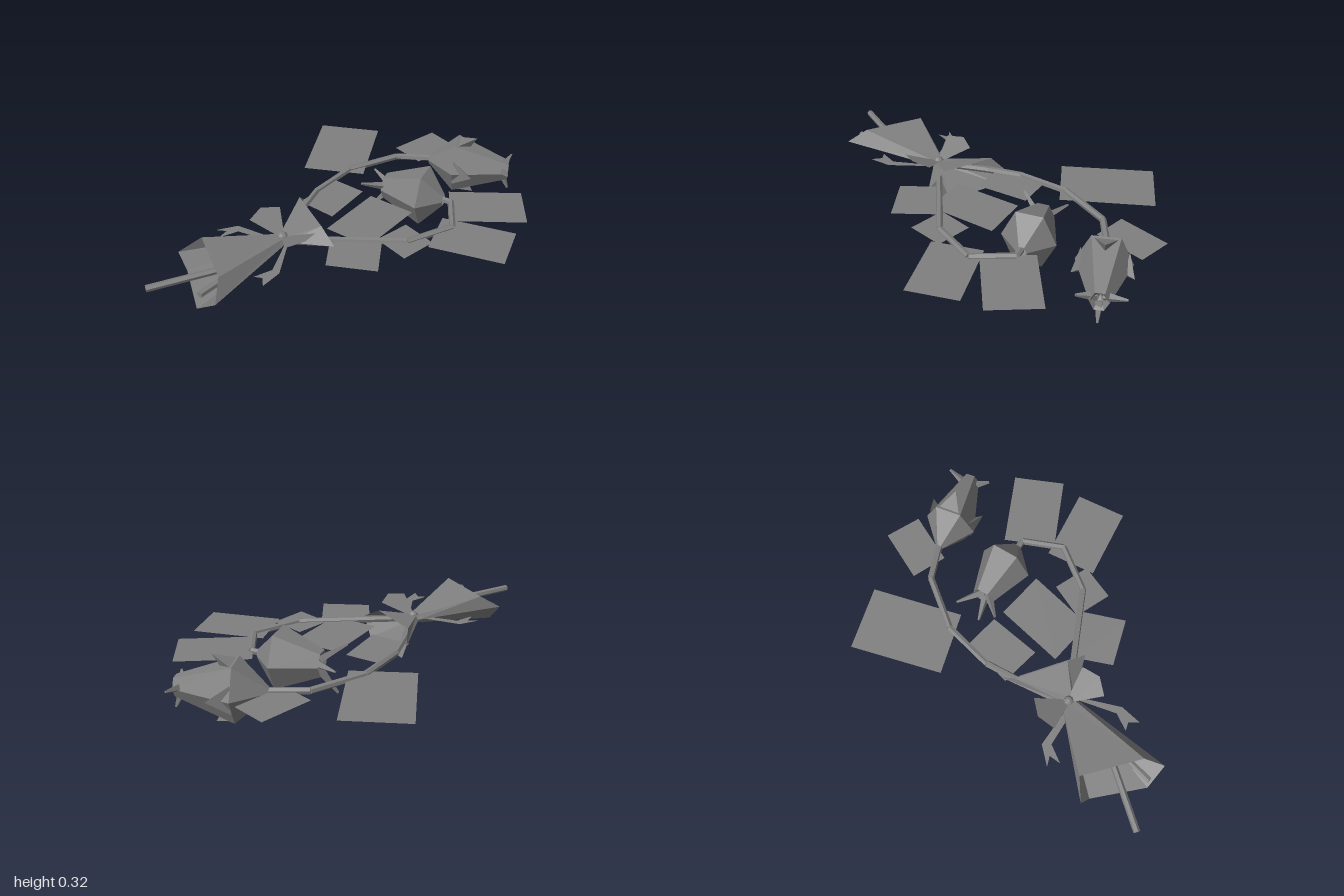
import * as THREE from 'three';

const Y = 0.16; // height of the plane in which the bouquet lies
const material = new THREE.MeshStandardMaterial({
  color: 0x808080, flatShading: true, side: THREE.DoubleSide,
});
const v = (x, y, z) => new THREE.Vector3(x, y, z);

function mesh(name, geometry) {
  const m = new THREE.Mesh(geometry, material);
  m.name = name;
  return m;
}

// Surface through rings of equal point count
function loft(name, rings) {
  const pos = [];
  const n = rings[0].length;
  for (let i = 0; i < rings.length - 1; i++) {
    for (let j = 0; j < n; j++) {
      const k = (j + 1) % n;
      const [a, b, c, d] = [rings[i][j], rings[i][k], rings[i + 1][k], rings[i + 1][j]];
      for (const p of [a, b, c, a, c, d]) pos.push(p.x, p.y, p.z);
    }
  }
  const g = new THREE.BufferGeometry();
  g.setAttribute('position', new THREE.Float32BufferAttribute(pos, 3));
  g.computeVertexNormals();
  return mesh(name, g);
}

// Flat outline of [x, z] corners; lift gives the height at each x
function sheet(name, corners, lift = () => Y) {
  const shape = new THREE.Shape(corners.map(([x, z]) => new THREE.Vector2(x, -z)));
  const g = new THREE.ShapeGeometry(shape).rotateX(-Math.PI / 2);
  const p = g.attributes.position;
  for (let i = 0; i < p.count; i++) p.setY(i, lift(p.getX(i)));
  g.computeVertexNormals();
  return mesh(name, g);
}

// Round rod between two points
function rod(name, a, b, ra, rb, sides = 6) {
  const d = b.clone().sub(a);
  const m = mesh(name, new THREE.CylinderGeometry(rb, ra, d.length(), sides));
  m.position.copy(a).addScaledVector(d, 0.5);
  m.quaternion.setFromUnitVectors(v(0, 1, 0), d.normalize());
  return m;
}

function stem(points) {
  const g = new THREE.Group();
  g.name = 'stem';
  const p = points.map(([x, z]) => v(x, Y, z));
  for (let i = 0; i < p.length - 1; i++) g.add(rod('stemSegment', p[i], p[i + 1], 0.016, 0.016));
  return g;
}

// Six-sided flower head along a horizontal axis, with outer petals and curled sepals
function flower([x, z], [dx, dz], profile, petals, sepalTips) {
  const g = new THREE.Group();
  g.name = 'flower';
  const axis = v(dx, 0, dz).normalize();
  const side = v(-axis.z, 0, axis.x);
  const at = (t, r, a) => v(x, Y - 0.005, z).addScaledVector(axis, t)
    .addScaledVector(side, Math.cos(a) * r * 0.84).add(v(0, Math.sin(a) * r, 0));
  const rings = profile.map(([t, r]) =>
    Array.from({ length: 6 }, (_, i) => at(t, r, i * Math.PI / 3)));
  g.add(loft('flowerHead', rings));

  const [wide, radius] = profile[1];
  for (let i = 0; i < petals; i++) {
    const a = i * Math.PI * 2 / petals;
    const tip = at(wide + 0.1, radius * 1.06, a);
    const l = at(wide, radius * 0.93, a - 0.5);
    const r = at(wide, radius * 0.93, a + 0.5);
    const inner = at(wide + 0.07, radius * 0.72, a);
    g.add(loft('outerPetal', [[tip, tip, tip], [l, r, inner]]));
  }

  const [end, endRadius] = profile[profile.length - 2];
  for (const tip of sepalTips) {
    const t = v(...tip);
    const root = at(end - 0.04, 0, 0);
    const out = t.clone().sub(root).normalize();
    g.add(rod('sepal', root.addScaledVector(out, endRadius * 0.4), t, 0.022, 0.006, 4));
  }
  return g;
}

export function createModel() {
  const model = new THREE.Group();
  model.name = 'bouquet';

  // Two bent stems crossing inside the wrap at the knot
  const kx = -0.035, kz = 0.335;
  model.add(
    stem([[0.06, 0.84], [kx, kz], [-0.17, 0.12], [-0.25, -0.03], [-0.3, -0.28],
      [-0.24, -0.55], [-0.11, -0.68]]),
    stem([[-0.12, 0.995], [0, 0.58], [kx, kz], [0.11, 0.17], [0.34, -0.09],
      [0.39, -0.33], [0.24, -0.47], [0.19, -0.45]]),
  );

  // Flower heads
  model.add(
    flower([-0.12, -0.67], [0.82, -0.58],
      [[0, 0.02], [0.14, 0.15], [0.41, 0.05], [0.36, 0]], 4,
      [[0.15, 0.18, -1.0], [0.275, 0.18, -0.83], [0.22, 0.05, -0.91]]),
    flower([0.2, -0.46], [-0.9, 0.42],
      [[0, 0.03], [0.1, 0.153], [0.31, 0.065], [0.27, 0]], 0,
      [[-0.205, 0.17, -0.37], [-0.1, 0.21, -0.19], [-0.14, 0.015, -0.29]]),
  );

  // Flat leaves
  const leaves = [
    [[-0.5, -0.65], [-0.74, -0.455], [-0.455, -0.11], [-0.22, -0.305]],
    [[-0.3, -0.865], [-0.125, -0.86], [-0.13, -0.605], [-0.305, -0.605]],
    [[0.405, -0.79], [0.59, -0.625], [0.355, -0.36], [0.17, -0.525]],
    [[0.615, -0.52], [0.735, -0.31], [0.43, -0.135], [0.31, -0.345]],
    [[0.24, -0.175], [0.42, -0.175], [0.425, 0.005], [0.24, 0.005]],
    [[0.27, 0], [0.42, 0.155], [0.24, 0.305], [0.11, 0.175]],
    [[-0.045, -0.205], [0.185, -0.265], [0.255, 0.07], [0.03, 0.13]],
    [[-0.265, -0.16], [-0.1, -0.2], [-0.03, 0.05], [-0.225, 0.09]],
  ];
  for (const leaf of leaves) model.add(sheet('leaf', leaf));

  // Paper wrap: pinched at the knot, flaring open at both ends
  const waist = [[-0.035, 0], [-0.02, 0.018], [0.02, 0.018], [0.035, 0], [0.02, -0.018], [-0.02, -0.018]]
    .map(([x, y]) => v(kx + x, Y + y, kz));
  const front = [[-0.255, 0.16, 0.755], [-0.2, 0.228, 0.66], [0.085, 0.228, 0.755],
    [0.158, 0.16, 0.825], [0.05, 0.085, 0.855], [-0.2, 0.085, 0.75]].map((p) => v(...p));
  const back = [[-0.23, 0.16, 0.065], [-0.19, 0.217, 0.12], [0.06, 0.217, 0.185],
    [0.16, 0.16, 0.19], [0.07, 0.085, 0.14], [-0.2, 0.085, 0.07]].map((p) => v(...p));
  model.add(loft('paperWrap', [back, waist, front]));

  // Bow: rising loops, forked tails and a round knot
  const rise = (x) => 0.172 + Math.abs(x - kx) * 0.42;
  for (const s of [-1, 1]) {
    const loop = [[0.01, -0.015], [0.135, -0.085], [0.17, 0], [0.137, 0.085], [0.01, 0.015]];
    model.add(sheet('bowLoop', loop.map(([x, z]) => [kx + s * x, kz + z]), rise));
  }
  model.add(
    sheet('ribbonTail', [[-0.06, 0.36], [-0.25, 0.435], [-0.288, 0.535], [-0.25, 0.5],
      [-0.23, 0.555], [-0.213, 0.46], [-0.06, 0.39]]),
    sheet('ribbonTail', [[0.01, 0.36], [0.118, 0.505], [0.105, 0.595], [0.137, 0.57],
      [0.182, 0.6], [0.157, 0.495], [0.03, 0.36]]),
  );
  const knot = mesh('knot', new THREE.SphereGeometry(0.026, 8, 6));
  knot.position.set(kx, 0.172, kz);
  model.add(knot);

  return model;
}
